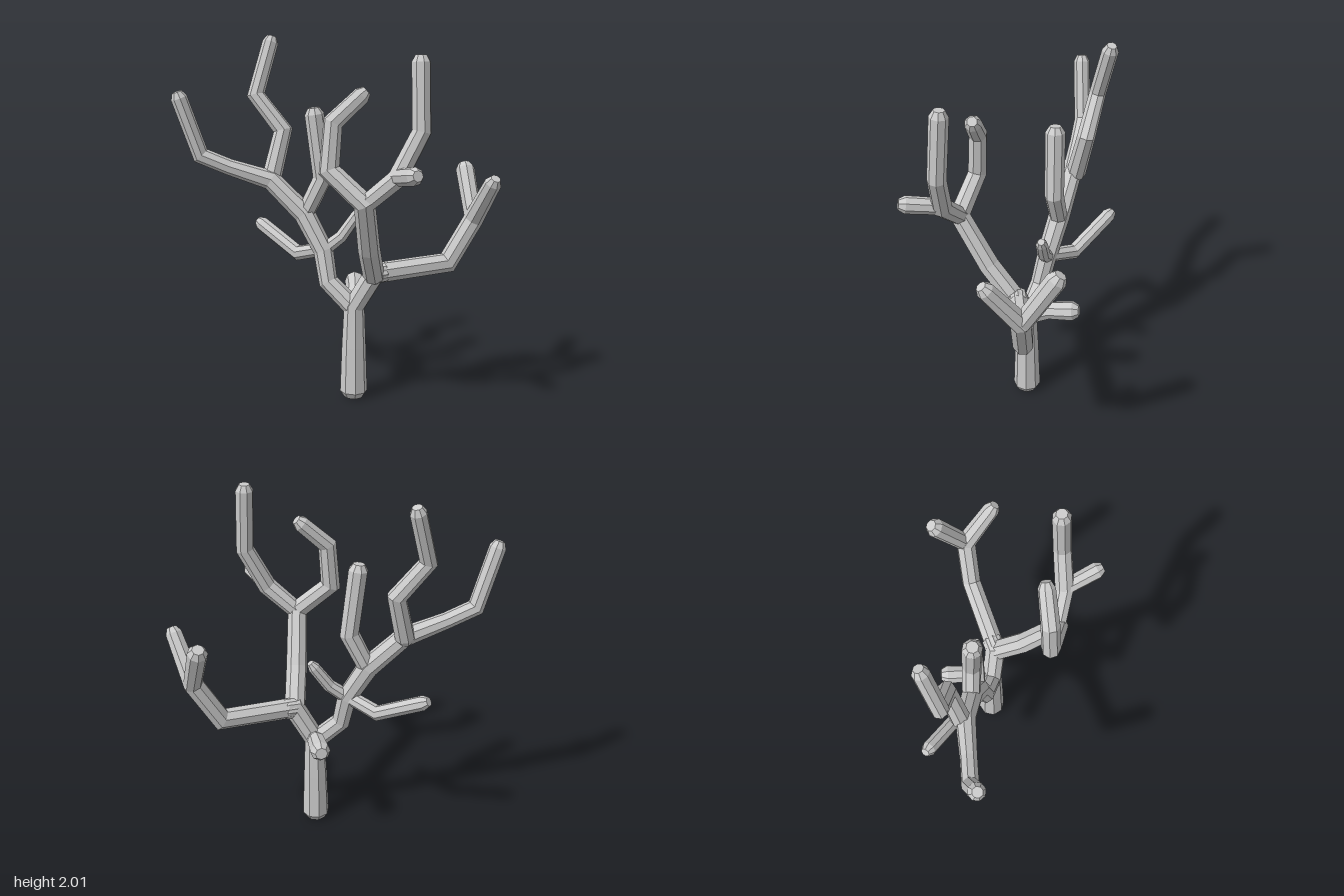
import * as THREE from 'three';

const SIDES = 8;
const CAP = 0.035;

// Mitred octagonal tube with chamfered ends through points [x, y, z, radius]
function limbGeometry(points) {
  const p = points.map(([x, y, z]) => new THREE.Vector3(x, y, z));
  const r = points.map((q) => q[3]);
  const last = p.length - 1;
  const dirs = p.slice(1).map((q, i) => q.clone().sub(p[i]).normalize());
  const side = new THREE.Vector3(0, 0, 1);
  if (Math.abs(dirs[0].z) > 0.9) side.set(1, 0, 0);
  side.addScaledVector(dirs[0], -side.dot(dirs[0])).normalize();

  const pos = [];
  const index = [];
  // One ring round the axis, slid along it onto the plane facing 'normal'
  const ring = (centre, dir, normal, radius) => {
    const up = dir.clone().cross(side);
    for (let k = 0; k < SIDES; k++) {
      const a = ((k + 0.5) / SIDES) * Math.PI * 2;
      const o = side.clone().multiplyScalar(Math.cos(a) * radius).addScaledVector(up, Math.sin(a) * radius);
      o.addScaledVector(dir, -o.dot(normal) / dir.dot(normal)).add(centre);
      pos.push(o.x, o.y, o.z);
    }
  };

  ring(p[0], dirs[0], dirs[0], r[0] * 0.7);
  ring(p[0].clone().addScaledVector(dirs[0], CAP), dirs[0], dirs[0], r[0]);
  for (let i = 1; i < last; i++) {
    const bisector = dirs[i - 1].clone().add(dirs[i]).normalize();
    ring(p[i], dirs[i - 1], bisector, r[i]);
    side.applyQuaternion(new THREE.Quaternion().setFromUnitVectors(dirs[i - 1], dirs[i]));
  }
  const end = dirs[last - 1];
  ring(p[last].clone().addScaledVector(end, -CAP), end, end, r[last]);
  ring(p[last], end, end, r[last] * 0.6);

  const rings = pos.length / 3 / SIDES;
  for (let j = 0; j < rings - 1; j++) {
    for (let k = 0; k < SIDES; k++) {
      const a = j * SIDES + k, b = j * SIDES + ((k + 1) % SIDES);
      index.push(a, b, b + SIDES, a, b + SIDES, a + SIDES);
    }
  }
  const top = (rings - 1) * SIDES;
  for (let k = 1; k < SIDES - 1; k++) {
    index.push(0, k + 1, k, top, top + k, top + k + 1);
  }
  const g = new THREE.BufferGeometry();
  g.setAttribute('position', new THREE.Float32BufferAttribute(pos, 3));
  g.setIndex(index);
  g.computeVertexNormals();
  return g;
}

export function createModel() {
  const tree = new THREE.Group();
  tree.name = 'bareTree';
  const bark = new THREE.MeshStandardMaterial({ color: 0xcccccc, flatShading: true });
  const limb = (name, ...points) => {
    const mesh = new THREE.Mesh(limbGeometry(points), bark);
    mesh.name = name;
    tree.add(mesh);
  };

  // Trunk, with a stub growing backward from its fork
  limb('trunk', [0.11, 0, -0.015, 0.077], [0.11, 0.3, -0.015, 0.068], [0.112, 0.53, -0.015, 0.058],
    [0.225, 0.725, -0.02, 0.06], [0.3, 0.735, -0.07, 0.06]);
  limb('backStub', [0.11, 0.52, -0.01, 0.05], [0.085, 0.59, -0.14, 0.05], [0.035, 0.61, -0.305, 0.056]);

  // Left rear bough and its fork
  limb('leftRearBough', [0.2, 0.725, -0.005, 0.058], [0.59, 0.758, -0.25, 0.056],
    [0.72, 1.0, -0.31, 0.056], [0.855, 1.26, -0.17, 0.047]);
  limb('leftRearTwig', [0.73, 0.97, -0.3, 0.05], [0.635, 1.29, -0.48, 0.054]);

  // Front bough and its branches
  limb('frontBough', [0.222, 0.69, -0.03, 0.06], [0.235, 0.9, 0.15, 0.06],
    [0.25, 1.18, 0.315, 0.056], [0.06, 1.345, 0.31, 0.053], [0.075, 1.59, 0.29, 0.05], [0.235, 1.75, 0.225, 0.046]);
  limb('frontTallBranch', [0.235, 1.16, 0.31, 0.05], [0.42, 1.32, 0.31, 0.053],
    [0.53, 1.555, 0.26, 0.05], [0.515, 1.935, 0.235, 0.05]);
  limb('frontTwig', [0.4, 1.32, 0.29, 0.045], [0.56, 1.365, 0.485, 0.048]);

  // Right bough, running out to its farthest tip
  limb('rightBough', [0.12, 0.51, -0.015, 0.055], [-0.04, 0.66, -0.02, 0.052], [-0.075, 0.83, -0.045, 0.056],
    [-0.19, 1.03, -0.06, 0.06], [-0.38, 1.215, -0.045, 0.055], [-0.6, 1.29, 0.025, 0.046],
    [-0.75, 1.355, 0.07, 0.046], [-0.855, 1.71, 0.135, 0.046]);
  limb('rightTallBranch', [-0.39, 1.19, -0.06, 0.055], [-0.34, 1.485, -0.145, 0.05],
    [-0.495, 1.68, -0.135, 0.046], [-0.43, 2.0, -0.235, 0.045]);
  limb('rightInnerBranch', [-0.2, 1.0, -0.06, 0.05], [-0.09, 1.23, -0.08, 0.053], [-0.135, 1.625, -0.06, 0.054]);
  limb('rightLowBranch', [-0.055, 0.845, -0.04, 0.04], [-0.25, 0.785, -0.13, 0.042], [-0.53, 0.935, -0.24, 0.042]);
  limb('rightLowTwig', [-0.09, 0.82, -0.045, 0.04], [0.02, 0.91, -0.075, 0.036], [0.12, 1.06, -0.11, 0.033]);

  return tree;
}
